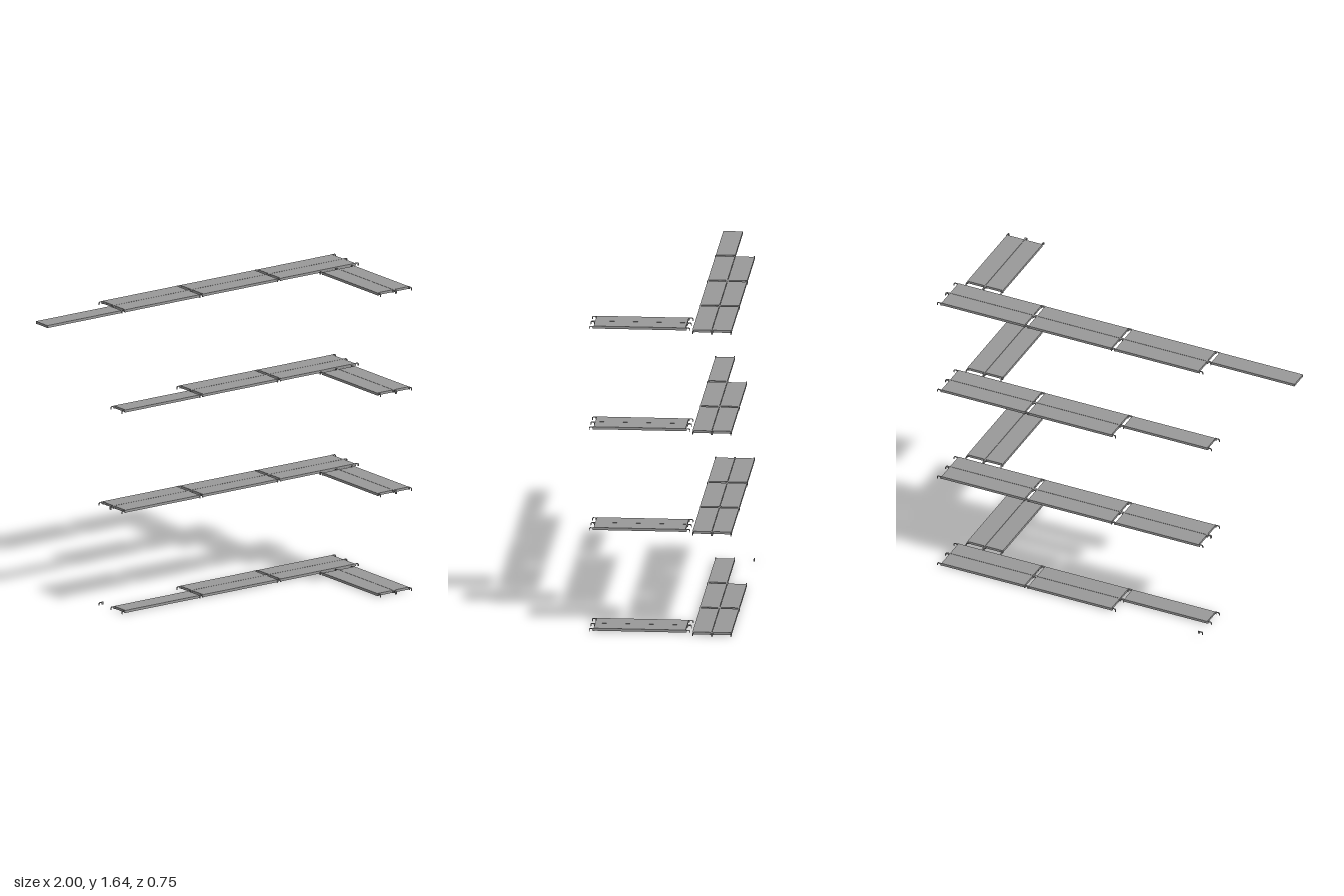
import * as THREE from 'three';

const LEN = 0.477, WID = 0.101, TOP = 0.0165, BOT = 0.003, HOOK = 0.024;
const mat = new THREE.MeshStandardMaterial({ color: 0x999999, flatShading: true, side: THREE.DoubleSide });

// Plank cross-section: top sheet, folded side walls with return lips, ribs below
function deckGeometry() {
  const h = WID / 2, t = 0.002, under = TOP - t, lip = 0.012;
  const pts = [[-h, TOP], [-h, BOT], [-h + lip, BOT], [-h + lip, BOT + t], [-h + t, BOT + t], [-h + t, under]];
  for (const c of [-0.015, 0.015]) {
    pts.push([c - 0.004, under], [c - 0.004, BOT + 0.004], [c + 0.004, BOT + 0.004], [c + 0.004, under]);
  }
  pts.push([h - t, under], [h - t, BOT + t], [h - lip, BOT + t], [h - lip, BOT], [h, BOT], [h, TOP]);
  const shape = new THREE.Shape(pts.map(([x, y]) => new THREE.Vector2(x, y)));
  const g = new THREE.ExtrudeGeometry(shape, { depth: LEN, bevelEnabled: false });
  return g.translate(0, 0, -LEN / 2).rotateY(Math.PI / 2);
}

// Claw that drops over a tube: plate with a rounded notch in its lower edge
function hookGeometry() {
  const s = new THREE.Shape();
  const c = HOOK / 2 + 0.001, r = 0.0075;
  s.moveTo(-0.004, TOP);
  s.lineTo(-0.004, BOT);
  s.lineTo(c - r, BOT);
  s.lineTo(c - r, 0.006);
  s.absarc(c, 0.006, r, Math.PI, 0, true);
  s.lineTo(c + r, 0);
  s.lineTo(HOOK, 0);
  s.lineTo(HOOK, 0.012);
  s.lineTo(HOOK - 0.005, TOP);
  s.closePath();
  const g = new THREE.ExtrudeGeometry(s, { depth: 0.005, bevelEnabled: false, curveSegments: 8 });
  return g.translate(0, 0, -0.0025);
}

export function createModel() {
  const model = new THREE.Group();
  model.name = 'scaffoldDecks';
  const deckGeo = deckGeometry(), hookGeo = hookGeometry();
  const endGeo = new THREE.BoxGeometry(0.002, TOP - BOT - 0.001, WID - 0.002);

  function hook(x, z, turn) {
    const m = new THREE.Mesh(hookGeo, mat);
    m.name = 'hook';
    m.position.set(x, 0, z);
    m.rotation.y = turn;
    return m;
  }

  // One plank along x, closed at both ends, with a pair of claws at each end
  function plank(x, z, { hooks = true, turn = 0 } = {}) {
    const g = new THREE.Group();
    g.name = 'plank';
    const deck = new THREE.Mesh(deckGeo, mat);
    deck.name = 'deck';
    g.add(deck);
    for (const end of [-1, 1]) {
      const plate = new THREE.Mesh(endGeo, mat);
      plate.name = 'endPlate';
      plate.position.set(end * (LEN / 2 - 0.0015), (TOP + BOT) / 2, 0);
      g.add(plate);
      if (!hooks) continue;
      for (const side of [-1, 1]) {
        g.add(hook(end * LEN / 2, side * (WID / 2 - 0.002) - end * 0.002, end > 0 ? 0 : Math.PI));
      }
    }
    g.position.set(x, 0, z);
    g.rotation.y = turn;
    return g;
  }

  const bays = [0.738, 0.24, -0.26];
  const backZ = -0.3215, frontZ = -0.2185;
  for (let i = 0; i < 4; i++) {
    const level = new THREE.Group();
    level.name = 'level' + (i + 1);
    level.position.y = i * 0.54;
    // Long run: the back row is one bay short on alternate levels
    bays.forEach((x, b) => {
      level.add(plank(x, frontZ));
      if (b < 2 || i % 2 === 1) level.add(plank(x, backZ));
    });
    // Return run at a right angle
    for (const x of [0.7905, 0.8935]) level.add(plank(x, 0.109, { turn: Math.PI / 2 }));
    // Loose claw on the lowest level
    if (i === 0) level.add(hook(-0.26 - LEN / 2, backZ - WID / 2 + 0.003, Math.PI));
    // Single extension on the top level
    if (i === 3) level.add(plank(-0.7615, frontZ, { hooks: false }));
    model.add(level);
  }
  return model;
}
